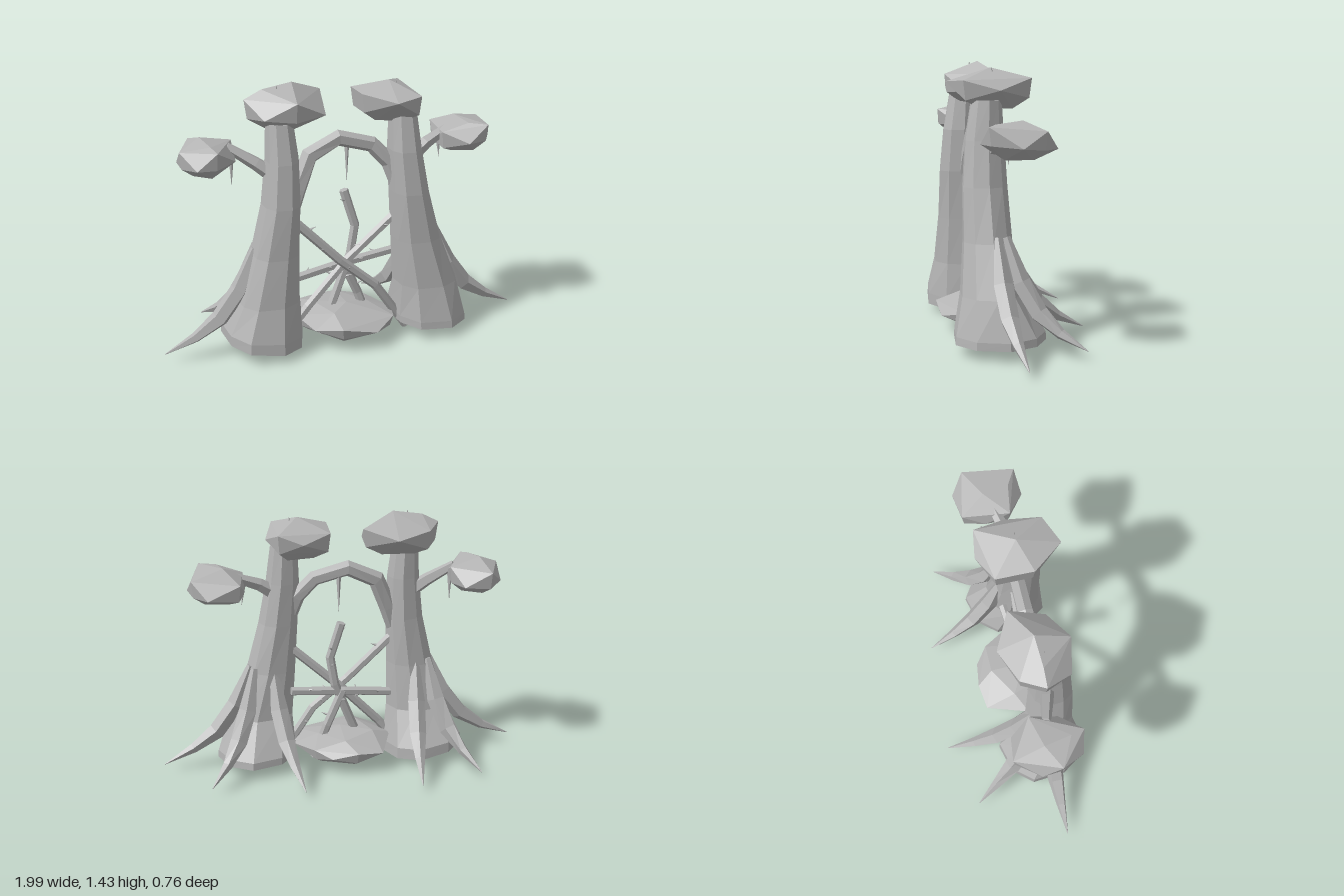
import * as THREE from 'three';
import { ConvexGeometry } from 'three/addons/geometries/ConvexGeometry.js';

const stone = new THREE.MeshStandardMaterial({ color: 0xb4b4b4, flatShading: true });
stone.name = 'greyStone';
const V = (a) => new THREE.Vector3(a[0], a[1], a[2]);

// Closed faceted skin over a list of rings
function skin(rings) {
  const pos = [];
  const tri = (...ps) => ps.forEach((p) => pos.push(p.x, p.y, p.z));
  const n = rings[0].length;
  const middle = (r) => r.reduce((s, p) => s.add(p), new THREE.Vector3()).divideScalar(n);
  const first = rings[0], last = rings[rings.length - 1];
  const c0 = middle(first), c1 = middle(last);
  for (let j = 0; j < n; j++) {
    const k = (j + 1) % n;
    for (let i = 0; i < rings.length - 1; i++) {
      const a = rings[i], b = rings[i + 1];
      tri(a[j], a[k], b[k]);
      tri(a[j], b[k], b[j]);
    }
    tri(c0, first[k], first[j]);
    tri(c1, last[j], last[k]);
  }
  const g = new THREE.BufferGeometry();
  g.setAttribute('position', new THREE.Float32BufferAttribute(pos, 3));
  g.computeVertexNormals();
  return g;
}

// Tapered limb along points, one radius per point
function limb(path, radii, sides = 6) {
  const pts = path.map(V);
  const dir = pts[pts.length - 1].clone().sub(pts[0]).normalize();
  const ref = Math.abs(dir.z) > 0.6 ? V([1, 0, 0]) : V([0, 0, 1]);
  return skin(pts.map((p, i) => {
    const t = pts[Math.min(i + 1, pts.length - 1)].clone().sub(pts[Math.max(i - 1, 0)]).normalize();
    const u = ref.clone().cross(t).normalize();
    const v = t.clone().cross(u);
    return Array.from({ length: sides }, (_, j) => {
      const a = (j / sides) * Math.PI * 2;
      return p.clone().addScaledVector(u, radii[i] * Math.cos(a)).addScaledVector(v, radii[i] * Math.sin(a));
    });
  }));
}

// Trunk from squarish level sections: [y, x centre, z centre, x radius, z radius, tilt]
function trunk(sections) {
  const sides = 9;
  const square = (v) => Math.sign(v) * Math.abs(v) ** 0.85;
  return skin(sections.map(([y, x, z, rx, rz, tilt = 0]) =>
    Array.from({ length: sides }, (_, j) => {
      const a = ((j + 0.3) / sides) * Math.PI * 2;
      const k = j % 2 ? 0.97 : 1.03;
      const dx = rx * k * square(Math.sin(a));
      return V([x + dx, y + tilt * dx, z + rz * k * square(Math.cos(a))]);
    })));
}

// Faceted boulder: [x, z, y] outline with a lower rim, top points and a small base
function boulder(outline, tops, bottomY, drop, shrink = 0.5) {
  const n = outline.length;
  const cx = outline.reduce((s, p) => s + p[0], 0) / n;
  const cz = outline.reduce((s, p) => s + p[1], 0) / n;
  const inset = (x, z, y, k) => V([cx + (x - cx) * k, y, cz + (z - cz) * k]);
  const pts = tops.map(V);
  outline.forEach(([x, z, y], i) => {
    pts.push(V([x, y, z]));
    if (i % 2 === 0) pts.push(inset(x, z, y - drop, 0.93), inset(x, z, bottomY, shrink));
  });
  return new ConvexGeometry(pts);
}

export function createModel() {
  const model = new THREE.Group();
  const add = (name, geometry) => {
    const m = new THREE.Mesh(geometry, stone);
    m.name = name;
    model.add(m);
  };

  // Trunks
  add('rightTrunk', trunk([
    [0.05, -0.465, 0.145, 0.215, 0.228, -0.12], [0.11, -0.465, 0.145, 0.215, 0.225, -0.1],
    [0.29, -0.44, 0.185, 0.165, 0.148], [0.55, -0.4, 0.192, 0.126, 0.122],
    [0.82, -0.365, 0.197, 0.1, 0.113], [1.05, -0.355, 0.19, 0.085, 0.1], [1.25, -0.362, 0.175, 0.068, 0.078]]));
  add('leftTrunk', trunk([
    [0.06, 0.475, 0.145, 0.212, 0.228, -0.03], [0.1, 0.472, 0.145, 0.212, 0.225, -0.03],
    [0.29, 0.443, 0.185, 0.173, 0.148], [0.55, 0.382, 0.188, 0.132, 0.122],
    [0.82, 0.336, 0.192, 0.104, 0.112], [1.05, 0.308, 0.187, 0.088, 0.098], [1.25, 0.298, 0.175, 0.071, 0.076]]));

  // Roots: trunk anchor [x, z] and tip
  const roots = [
    [[-0.49, 0.17], [-1, 0.05, 0.18]], [[-0.48, 0.12], [-0.72, 0.04, -0.27]], [[-0.42, 0.12], [-0.365, 0.045, -0.38]],
    [[0.48, 0.16], [0.99, 0.04, 0.11]], [[0.47, 0.12], [0.745, 0.05, -0.24]], [[0.38, 0.12], [0.26, 0.045, -0.35]],
  ];
  roots.forEach(([[x, z], tip]) => {
    const at = (s, y) => [x + (tip[0] - x) * s, y, z + (tip[2] - z) * s];
    add('root', limb([at(0.03, 0.58), at(0.2, 0.36), at(0.42, 0.21), at(0.68, 0.12), tip],
      [0.02, 0.05, 0.048, 0.028, 0.002], 5));
  });

  // Cap boulders on the trunks
  add('rightTopBoulder', boulder([
    [-0.53, 0.12, 1.36], [-0.46, 0.26, 1.28], [-0.3, 0.29, 1.36], [-0.13, 0.21, 1.27],
    [-0.105, 0.02, 1.36], [-0.28, -0.07, 1.31], [-0.46, 0.0, 1.34]],
  [[-0.28, 1.43, 0.11], [-0.44, 1.405, 0.12]], 1.205, 0.1));
  add('leftTopBoulder', boulder([
    [0.065, 0.2, 1.36], [0.2, 0.365, 1.34], [0.35, 0.3, 1.35], [0.4, 0.12, 1.3],
    [0.35, -0.05, 1.36], [0.22, -0.07, 1.31], [0.07, 0.0, 1.35]],
  [[0.23, 1.41, 0.14]], 1.205, 0.1));

  // Boulders on the side branches
  add('rightSideBoulder', boulder([
    [-0.865, 0.13, 1.12], [-0.8, 0.25, 1.05], [-0.7, 0.27, 1.14], [-0.59, 0.17, 1.06],
    [-0.58, 0.02, 1.13], [-0.64, -0.08, 1.04], [-0.78, -0.1, 1.12], [-0.865, 0.03, 1.04]],
  [[-0.75, 1.17, 0.06], [-0.72, 1.155, 0.2]], 0.985, 0.09));
  add('leftSideBoulder', boulder([
    [0.52, 0.18, 1.11], [0.64, 0.27, 1.06], [0.75, 0.25, 1.15], [0.82, 0.1, 1.05],
    [0.8, -0.02, 1.13], [0.72, -0.09, 1.04], [0.55, -0.07, 1.11], [0.52, 0.05, 1.04]],
  [[0.63, 1.17, 0.06], [0.66, 1.155, 0.2]], 0.99, 0.09));

  // Slab between the trunks
  add('baseSlab', boulder([
    [-0.28, 0.12, 0.14], [-0.22, 0.3, 0.12], [-0.09, 0.38, 0.14], [0.1, 0.38, 0.1], [0.23, 0.27, 0.13],
    [0.27, 0.12, 0.11], [0.17, -0.04, 0.13], [0.08, -0.11, 0.1], [-0.06, -0.13, 0.13], [-0.2, -0.11, 0.12]],
  [[-0.17, 0.185, 0.06], [0, 0.19, 0.15], [0.13, 0.165, 0.11], [-0.1, 0.182, 0.25], [0, 0.175, -0.04]],
  0.045, 0.06, 0.75));

  // Arch and side branches
  add('arch', limb([[-0.32, 0.72, 0.18], [-0.27, 0.88, 0.165], [-0.2, 1.045, 0.145], [-0.04, 1.12, 0.13],
    [0.14, 1.07, 0.135], [0.235, 0.97, 0.15], [0.3, 0.78, 0.18]], [0.04, 0.048, 0.048, 0.044, 0.042, 0.045, 0.04], 6));
  add('rightBranch', limb([[-0.36, 0.94, 0.17], [-0.48, 1.03, 0.14], [-0.62, 1.12, 0.1]], [0.045, 0.036, 0.025], 5));
  add('leftBranch', limb([[0.32, 0.97, 0.17], [0.44, 1.05, 0.14], [0.58, 1.11, 0.1]], [0.045, 0.035, 0.025], 5));

  // Crossed sticks
  const sticks = [
    [[-0.31, 0.72, 0.17], [-0.05, 0.46, 0.19], [0.15, 0.29, 0.19], [0.34, 0.015, 0.17]],
    [[0.29, 0.69, 0.15], [0.0, 0.43, 0.14], [-0.22, 0.2, 0.16], [-0.37, 0.015, 0.16]],
    [[0.0, 0.82, 0.1], [0.06, 0.62, 0.11], [0.035, 0.46, 0.11], [-0.14, 0.02, 0.14]],
    [[-0.01, 0.42, 0.11], [0.08, 0.22, 0.1], [0.15, 0.015, 0.12]],
    [[-0.31, 0.37, 0.16], [-0.02, 0.41, 0.12], [0.28, 0.44, 0.09]],
  ];
  const spike = (name, from, to, r) => add(name, limb([from, to], [r, 0.0008], 4));
  sticks.forEach((path, s) => {
    add('stick', limb(path, path.map(() => 0.025), 6));
    // Thorns along each stick
    for (let i = 0; i < path.length - 1; i++) {
      [0.3, 0.75].forEach((t, k) => {
        const p = V(path[i]).lerp(V(path[i + 1]), t);
        if (p.y < 0.2) return;
        const a = s * 1.3 + i * 2.1 + k * 2.6;
        const side = V([Math.cos(a), 0.35, Math.sin(a)]).multiplyScalar(0.055).add(p);
        spike('thorn', p.toArray(), side.toArray(), 0.012);
      });
    }
  });

  // Hanging spikes and small tips above the caps
  spike('hangingSpike', [0.01, 1.09, 0.12], [0.01, 0.88, 0.12], 0.014);
  spike('hangingSpike', [-0.6, 1.07, 0.11], [-0.602, 0.92, 0.11], 0.014);
  spike('hangingSpike', [0.52, 1.08, 0.11], [0.535, 0.95, 0.11], 0.014);
  spike('capTip', [-0.365, 1.3, 0.14], [-0.365, 1.425, 0.14], 0.02);
  spike('capTip', [0.27, 1.3, 0.14], [0.27, 1.41, 0.14], 0.02);

  return model;
}
